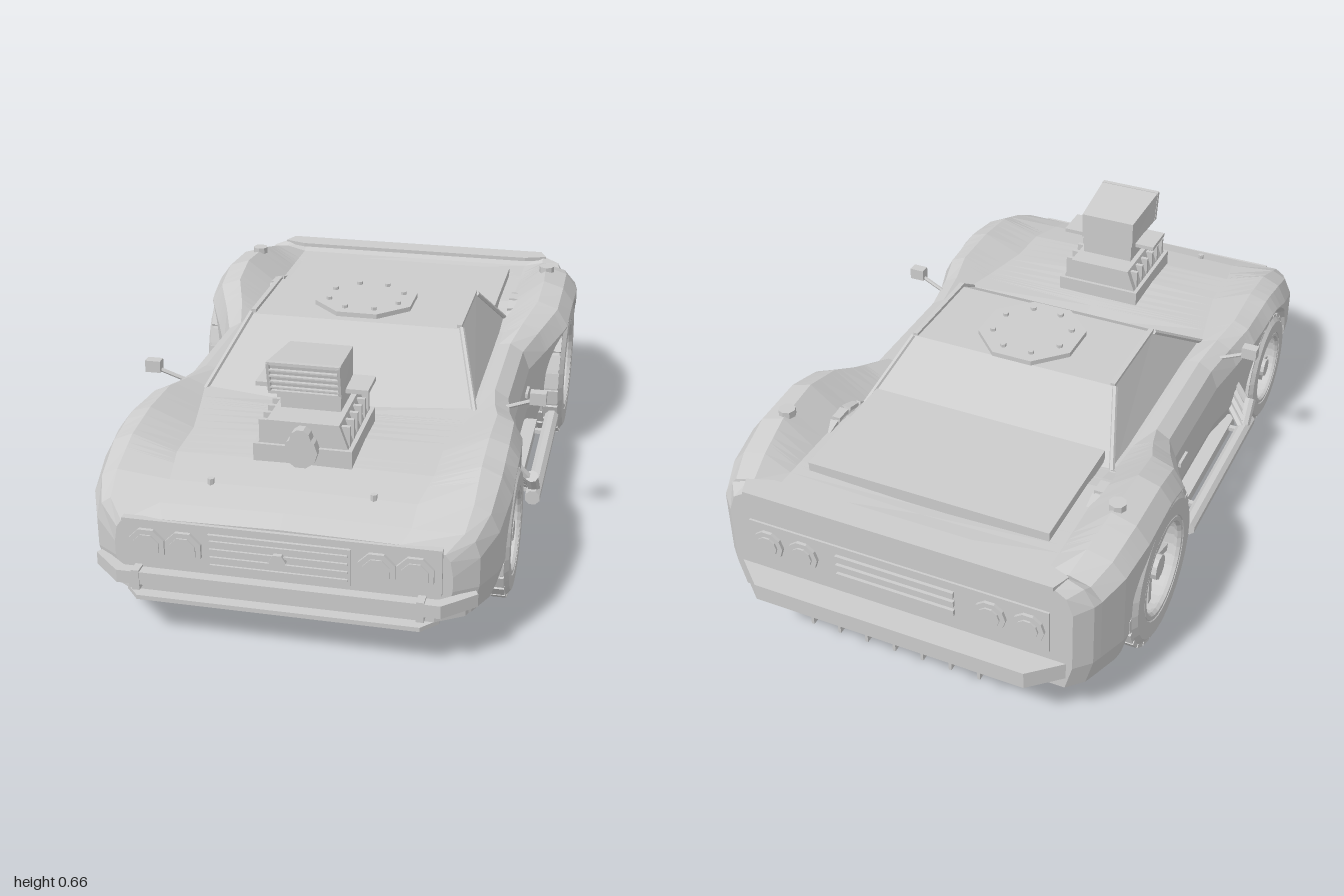
import * as THREE from 'three';

const mat = new THREE.MeshStandardMaterial({ color: 0xcccccc, flatShading: true, side: THREE.DoubleSide });

function add(parent, name, geo, x = 0, y = 0, z = 0) {
  const m = new THREE.Mesh(geo, mat);
  m.name = name;
  m.position.set(x, y, z);
  parent.add(m);
  return m;
}
const box = (p, name, w, h, d, x, y, z) => add(p, name, new THREE.BoxGeometry(w, h, d), x, y, z);
function cyl(p, name, r, len, axis, x, y, z, seg = 10) {
  const g = new THREE.CylinderGeometry(r, r, len, seg);
  if (axis === 'x') g.rotateZ(Math.PI / 2);
  if (axis === 'z') { g.rotateY(Math.PI / seg); g.rotateX(Math.PI / 2); }
  return add(p, name, g, x, y, z);
}
function bar(p, name, a, b, r, seg = 6) {
  const A = new THREE.Vector3(...a), B = new THREE.Vector3(...b), d = B.clone().sub(A);
  const m = add(p, name, new THREE.CylinderGeometry(r, r, d.length(), seg));
  m.position.copy(A).add(B).multiplyScalar(0.5);
  m.quaternion.setFromUnitVectors(new THREE.Vector3(0, 1, 0), d.normalize());
}
// Prism whose plan is given as [x, z] points
function plan(p, name, pts, h, y) {
  const g = new THREE.ExtrudeGeometry(new THREE.Shape(pts.map(q => new THREE.Vector2(q[0], -q[1]))), { depth: h, bevelEnabled: false });
  g.rotateX(-Math.PI / 2);
  return add(p, name, g, 0, y, 0);
}

// Wheel openings: centre z, centre y, half length, height
const arches = [[0.56, 0.18, 0.19, 0.19], [-0.51, 0.225, 0.24, 0.195]];
// z, half width, shoulder y, crest x, crest y, valley x, valley y, centre y
const keys = [
  [0.94, 0.43, 0.24, 0.41, 0.30, 0.30, 0.315, 0.32], [0.90, 0.49, 0.28, 0.45, 0.34, 0.32, 0.34, 0.345],
  [0.82, 0.525, 0.31, 0.46, 0.38, 0.32, 0.365, 0.37], [0.70, 0.54, 0.35, 0.46, 0.425, 0.34, 0.385, 0.39],
  [0.56, 0.54, 0.38, 0.46, 0.44, 0.34, 0.39, 0.40], [0.40, 0.53, 0.37, 0.46, 0.435, 0.37, 0.395, 0.39],
  [0.30, 0.505, 0.34, 0.44, 0.42, 0.39, 0.40, 0.38], [0.18, 0.485, 0.33, 0.425, 0.41, 0.39, 0.405, 0.38],
  [-0.18, 0.485, 0.33, 0.425, 0.41, 0.39, 0.405, 0.40], [-0.28, 0.53, 0.36, 0.45, 0.44, 0.39, 0.405, 0.40],
  [-0.38, 0.58, 0.40, 0.485, 0.48, 0.385, 0.41, 0.40], [-0.50, 0.585, 0.44, 0.49, 0.505, 0.39, 0.43, 0.41],
  [-0.66, 0.585, 0.43, 0.48, 0.50, 0.39, 0.43, 0.41], [-0.78, 0.57, 0.41, 0.465, 0.47, 0.39, 0.43, 0.42],
  [-0.86, 0.54, 0.39, 0.45, 0.445, 0.39, 0.43, 0.43], [-0.885, 0.53, 0.39, 0.45, 0.46, 0.39, 0.455, 0.455],
  [-0.925, 0.49, 0.38, 0.44, 0.45, 0.38, 0.45, 0.45]];

function section(z) {
  let i = 0;
  while (i < keys.length - 2 && keys[i + 1][0] > z) i++;
  const t = (keys[i][0] - z) / (keys[i][0] - keys[i + 1][0]);
  const [, w, m0, xt, yt, xv, yv, yc] = keys[i].map((v, k) => v + (keys[i + 1][k] - v) * t);
  let b = 0.125;
  for (const [zc, cy, rz, ry] of arches) {
    const u = (z - zc) / rz;
    if (Math.abs(u) < 1) b = cy + ry * Math.sqrt(1 - u * u);
  }
  const low = Math.max(0.2, b + 0.01), m = Math.max(m0, low + 0.005), bc = Math.min(b, yc - 0.03);
  const half = [[0, bc], [0.34, bc], [w - 0.02, b], [w, low], [w, m],
    [xt + (w - xt) * 0.65, m + (yt - m) * 0.7], [xt, yt], [xv, yv], [0, yc]];
  return [...half, ...half.slice(1, -1).reverse().map(q => [-q[0], q[1]])].map(q => [q[0], q[1], z]);
}

// Body shell lofted from nose to tail
function bodyGeometry() {
  const zs = keys.map(k => k[0]);
  for (const [zc, , r] of arches) {
    for (const s of [-1, 1]) zs.push(zc + s * r * 1.002);
    for (let i = 0; i <= 14; i++) zs.push(zc + r * 0.9999 * Math.cos(i * Math.PI / 14));
  }
  zs.sort((a, b) => b - a);
  const rings = zs.map(section), n = rings[0].length, pos = rings.flat(2), idx = [];
  for (let i = 0; i < rings.length - 1; i++) for (let j = 0; j < n; j++) {
    const a = i * n + j, b = i * n + (j + 1) % n;
    idx.push(a, a + n, b, b, a + n, b + n);
  }
  const last = (rings.length - 1) * n, c = rings.length * n;
  pos.push(0, 0.22, 0.94, 0, 0.28, -0.925);
  for (let j = 0; j < n; j++) {
    const k = (j + 1) % n;
    idx.push(c, j, k, c + 1, last + k, last + j);
  }
  const g = new THREE.BufferGeometry();
  g.setAttribute('position', new THREE.Float32BufferAttribute(pos, 3));
  g.setIndex(idx);
  g.computeVertexNormals();
  return g;
}

// Box reshaped by a rule acting on its corners
function warped(w, h, d, rule) {
  const g = new THREE.BoxGeometry(w, h, d), p = g.attributes.position;
  for (let i = 0; i < p.count; i++) p.setXYZ(i, ...rule(Math.sign(p.getX(i)), Math.sign(p.getY(i)), Math.sign(p.getZ(i))));
  g.computeVertexNormals();
  return g;
}

function wheel(parent, name, s, xIn, xOut, z, R) {
  const g = new THREE.Group(), w = xOut - xIn, h = w / 2, rim = R * 0.67;
  g.name = name;
  g.position.set(s * (xIn + xOut) / 2, R, z);
  if (s < 0) g.rotation.y = Math.PI;
  parent.add(g);
  const prof = [[rim, -h], [R * 0.88, -h], [R * 0.97, -h * 0.85], [R * 0.97, h * 0.85], [R * 0.88, h], [rim, h], [rim * 0.94, h * 0.85], [rim * 0.9, h * 0.3], [0.01, h * 0.3]];
  const tyre = new THREE.LatheGeometry(prof.map(q => new THREE.Vector2(...q)), 28);
  tyre.rotateZ(-Math.PI / 2);
  add(g, 'tyre', tyre);
  cyl(g, 'innerWheelFace', rim, 0.01, 'x', -h * 0.8, 0, 0, 20);
  // Staggered tread blocks
  for (let row = 0; row < 4; row++) for (let i = 0; i < 24; i++) {
    const a = (i + (row % 2) / 2) * Math.PI / 12;
    const b = box(g, 'treadBlock', w * 0.21, R * 0.06, R * 0.21, (row - 1.5) * w * 0.225, R * 0.965 * Math.cos(a), R * 0.965 * Math.sin(a));
    b.rotation.x = a;
  }
  const ring = new THREE.TorusGeometry(rim * 0.93, R * 0.05, 6, 28);
  ring.rotateY(Math.PI / 2);
  add(g, 'rimRing', ring, h * 0.9);
  for (let i = 0; i < 10; i++) {
    const a = i * Math.PI / 5;
    const b = box(g, 'spoke', 0.02, rim * 0.72, rim * 0.14, h * 0.55, rim * 0.55 * Math.cos(a), rim * 0.55 * Math.sin(a));
    b.rotation.x = a;
  }
  cyl(g, 'hub', rim * 0.24, 0.05, 'x', h * 0.65, 0, 0, 10);
}

export function createModel() {
  const car = new THREE.Group();
  car.name = 'car';
  add(car, 'bodyShell', bodyGeometry());

  // Cabin, roof rails and roof plate
  add(car, 'cabin', warped(1, 1, 1, (x, y, z) => y > 0 ? [x * 0.31, z > 0 ? 0.545 : 0.55, z > 0 ? 0.08 : -0.22] : [x * 0.39, 0.38, z > 0 ? 0.33 : -0.44]));
  cyl(car, 'roofPlate', 0.155, 0.014, 'y', 0, 0.557, -0.08, 8).rotation.y = Math.PI / 8;
  for (let i = 0; i < 8; i++) {
    const a = (i + 0.5) * Math.PI / 4;
    cyl(car, 'roofBolt', 0.009, 0.01, 'y', 0.113 * Math.cos(a), 0.568, -0.08 + 0.113 * Math.sin(a), 6);
  }
  box(car, 'rearDeck', 0.70, 0.035, 0.37, 0, 0.437, -0.565);
  plan(car, 'tailLip', [[-0.46, -0.88], [-0.39, -0.855], [0.39, -0.855], [0.46, -0.88], [0.44, -0.93], [-0.44, -0.93]], 0.012, 0.448);

  // Nose: lamp panel, grille, bumper and splitter
  box(car, 'lampPanel', 0.81, 0.125, 0.02, 0, 0.252, 0.94);
  box(car, 'grille', 0.36, 0.10, 0.012, 0, 0.245, 0.952);
  for (let i = 0; i < 4; i++) box(car, 'grilleSlat', 0.35, 0.006, 0.012, 0, 0.212 + i * 0.022, 0.958);
  cyl(car, 'grilleBoss', 0.022, 0.02, 'z', 0, 0.245, 0.96, 6);
  const front = [[-0.48, 0.90], [-0.40, 0.965], [0.40, 0.965], [0.48, 0.90], [0.49, 0.92], [0.41, 0.995], [-0.41, 0.995], [-0.49, 0.92]];
  plan(car, 'frontBumper', front, 0.035, 0.155);
  plan(car, 'frontValance', [[-0.48, 0.86], [0.48, 0.86], [0.46, 0.92], [0.39, 0.965], [-0.39, 0.965], [-0.46, 0.92]], 0.03, 0.125);
  plan(car, 'splitter', [[-0.40, 0.85], [0.40, 0.85], [0.40, 0.95], [0.36, 0.995], [-0.36, 0.995], [-0.40, 0.95]], 0.012, 0.112);

  // Tail: panel, vents, bumper and diffuser
  box(car, 'tailPanel', 0.86, 0.13, 0.012, 0, 0.305, -0.925);
  for (let i = 0; i < 3; i++) box(car, 'tailVent', 0.34, 0.018, 0.016, 0, 0.275 + i * 0.03, -0.932);
  plan(car, 'rearBumper', [[-0.49, -0.91], [0.49, -0.91], [0.39, -0.998], [-0.39, -0.998]], 0.05, 0.16);
  box(car, 'diffuser', 0.66, 0.012, 0.09, 0, 0.121, -0.91);
  for (let i = -3; i <= 3; i++) box(car, 'diffuserFin', 0.008, 0.028, 0.09, i * 0.082, 0.106, -0.915);

  // Exposed engine with intake scoop
  const engine = new THREE.Group();
  engine.name = 'engine';
  car.add(engine);
  box(engine, 'engineBase', 0.26, 0.06, 0.29, 0, 0.405, 0.565);
  add(engine, 'blowerCase', warped(1, 1, 1, (x, y, z) => [x * (y > 0 ? 0.095 : 0.12), y > 0 ? 0.5 : 0.43, 0.565 + z * 0.135]));
  for (let i = 0; i < 6; i++) box(engine, 'blowerRib', 0.24, 0.055, 0.012, 0, 0.465, 0.455 + i * 0.045);
  box(engine, 'intakeNeck', 0.16, 0.07, 0.12, 0, 0.525, 0.555);
  for (const s of [-1, 1]) box(engine, 'intakeFlange', 0.06, 0.012, 0.10, s * 0.12, 0.556, 0.555);
  add(engine, 'intakeScoop', warped(1, 1, 1, (x, y, z) => z > 0 ? [x * 0.095, y > 0 ? 0.655 : 0.565, y > 0 ? 0.685 : 0.665] : [x * 0.085, y > 0 ? 0.635 : 0.555, 0.49]));
  for (const s of [-1, 1]) {
    box(engine, 'scoopSideRim', 0.008, 0.09, 0.014, s * 0.092, 0.61, 0.678).rotation.x = 0.2;
    box(engine, 'scoopEdgeRim', 0.19, 0.008, 0.014, 0, 0.61 + s * 0.042, 0.678 + s * 0.008);
  }
  for (let i = 0; i < 4; i++) box(engine, 'scoopSlat', 0.18, 0.004, 0.012, 0, 0.582 + i * 0.017, 0.674 + i * 0.004);
  cyl(engine, 'lowerPulley', 0.045, 0.03, 'z', 0, 0.43, 0.715, 10);
  cyl(engine, 'upperPulley', 0.028, 0.03, 'z', 0, 0.465, 0.715, 10);

  for (const s of [-1, 1]) {
    wheel(car, 'frontWheel', s, 0.36, 0.54, 0.56, 0.178);
    wheel(car, 'rearWheel', s, 0.37, 0.58, -0.51, 0.222);
    for (const x of [0.245, 0.34]) {
      cyl(car, 'headlamp', 0.05, 0.016, 'z', s * x, 0.245, 0.952, 8);
      cyl(car, 'headlampLens', 0.036, 0.02, 'z', s * x, 0.245, 0.954, 8);
    }
    for (const x of [0.27, 0.375]) {
      cyl(car, 'tailLamp', 0.045, 0.016, 'z', s * x, 0.305, -0.932, 10);
      cyl(car, 'tailLampLens', 0.03, 0.022, 'z', s * x, 0.305, -0.934, 10);
    }
    box(car, 'overrider', 0.02, 0.055, 0.035, s * 0.36, 0.168, 0.98);
    box(car, 'roofRail', 0.014, 0.01, 0.30, s * 0.305, 0.553, -0.07);
    bar(car, 'windscreenPillar', [s * 0.312, 0.548, 0.08], [s * 0.388, 0.39, 0.315], 0.008);
    bar(car, 'rearPillar', [s * 0.312, 0.548, -0.22], [s * 0.388, 0.39, -0.425], 0.008);
    // Mirrors, handles, caps and pins
    bar(car, 'mirrorStalk', [s * 0.45, 0.385, 0.25], [s * 0.55, 0.425, 0.26], 0.006);
    box(car, 'mirror', 0.045, 0.035, 0.03, s * 0.555, 0.432, 0.26);
    box(car, 'doorHandle', 0.012, 0.014, 0.06, s * 0.487, 0.28, -0.12);
    cyl(car, 'fuelCap', 0.024, 0.02, 'y', s * 0.485, 0.502, -0.63, 8);
    cyl(car, 'hoodPin', 0.009, 0.018, 'y', s * 0.21, 0.372, 0.82, 6);
    // Sill, side pipe and exhaust stubs
    box(car, 'sill', 0.06, 0.035, 0.50, s * 0.485, 0.14, 0.05);
    cyl(car, 'sidePipe', 0.022, 0.56, 'z', s * 0.556, 0.148, 0.03, 8);
    for (const z of [-0.14, 0.25]) box(car, 'pipeBracket', 0.08, 0.012, 0.015, s * 0.52, 0.145, z);
    for (let i = 0; i < 4; i++) bar(car, 'exhaustStub', [s * 0.49, 0.275 - i * 0.025, 0.33 - i * 0.008], [s * 0.553, 0.20 - i * 0.014, 0.31 - i * 0.02], 0.012);
    bar(car, 'exhaustCollector', [s * 0.553, 0.22, 0.32], [s * 0.556, 0.15, 0.26], 0.018, 8);
  }
  return car;
}
